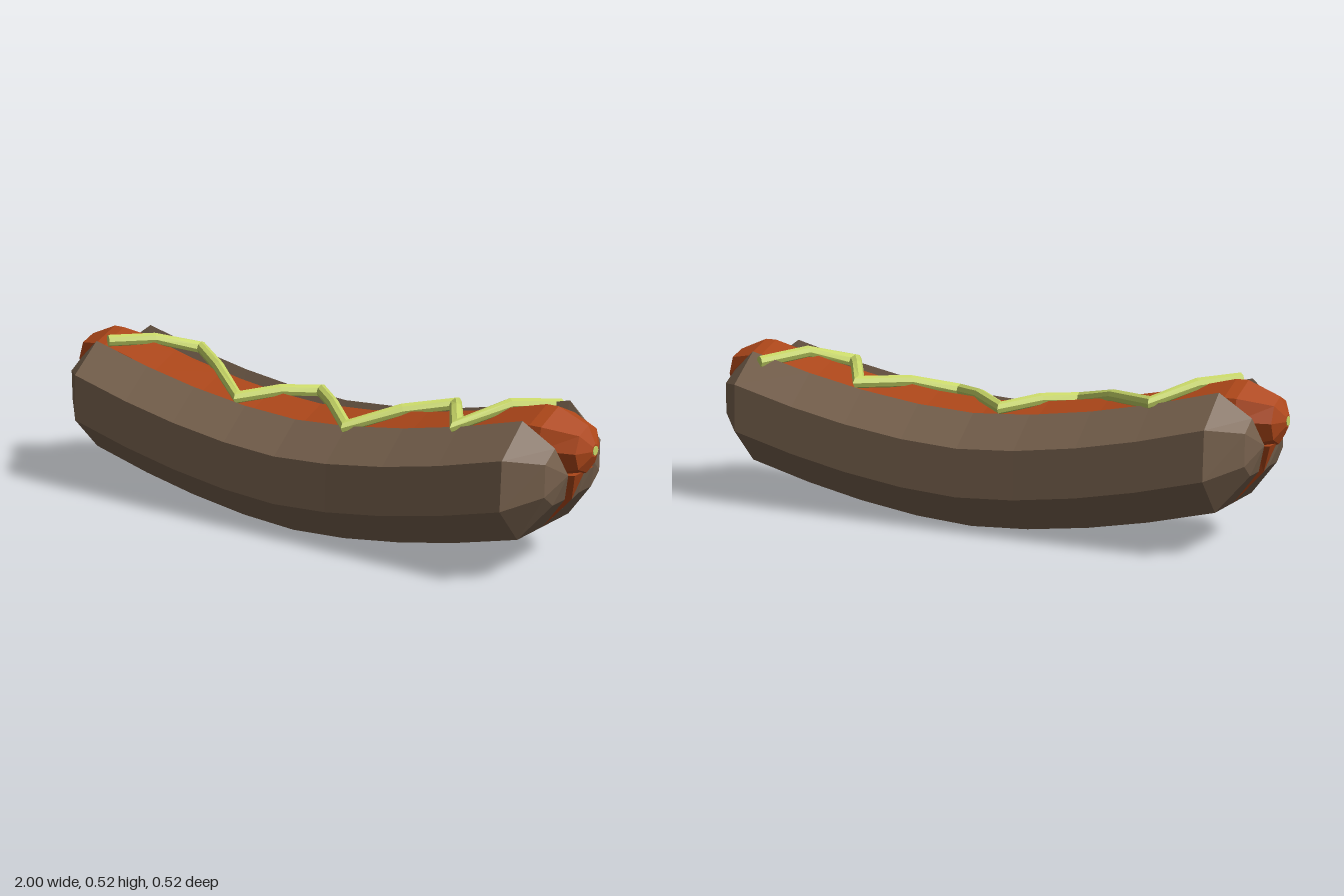
import * as THREE from 'three';

const BUN = 0x78624e, MEAT = 0xb0481a, SAUCE = 0xc6d566;
const STATIONS = [-0.83, -0.61, -0.41, -0.2, 0, 0.2, 0.41, 0.61, 0.83];

// Upward curve shared by every part
const bend = (x) => 0.135 * Math.pow(Math.min(Math.abs(x) / 0.83, 1), 1.7);

// Skin a list of equal-length rings and close both ends
function loft(name, color, rings) {
  const pos = [];
  const tri = (...pts) => pts.forEach((p) => pos.push(p.x, p.y, p.z));
  const n = rings[0].length;
  for (let i = 0; i < rings.length - 1; i++) {
    for (let j = 0; j < n; j++) {
      const k = (j + 1) % n, r = rings[i], s = rings[i + 1];
      tri(r[j], s[j], s[k]);
      tri(r[j], s[k], r[k]);
    }
  }
  const first = rings[0], last = rings[rings.length - 1];
  for (let j = 1; j < n - 1; j++) {
    tri(first[0], first[j], first[j + 1]);
    tri(last[0], last[j + 1], last[j]);
  }
  const geo = new THREE.BufferGeometry();
  geo.setAttribute('position', new THREE.Float32BufferAttribute(pos, 3));
  geo.computeVertexNormals();
  const mesh = new THREE.Mesh(geo, new THREE.MeshStandardMaterial({ color, flatShading: true }));
  mesh.name = name;
  return mesh;
}

// Place a [z, y] section at x, following the bend
const section = (x, pts) => pts.map(([z, y]) => new THREE.Vector3(x, y + bend(x), z));

// Body sections along the stations, with tapering end sections mirrored in x
function along(body, ends) {
  return [
    ...[...ends].reverse().map(([x, pts]) => section(-x, pts)),
    ...STATIONS.map((x) => section(x, body)),
    ...ends.map(([x, pts]) => section(x, pts)),
  ];
}

export function createModel() {
  const model = new THREE.Group();
  model.name = 'hotDog';

  // Bun halves, meeting at the bottom centre with a V-shaped groove between them
  const half = [[0, 0], [0.153, 0], [0.259, 0.115], [0.253, 0.27], [0.14, 0.365]];
  const shoulder = [[0.043, 0.115], [0.115, 0.115], [0.165, 0.153], [0.165, 0.253], [0.11, 0.29]];
  const tip = half.map(() => [0.08, 0.205]);
  const mirror = (pts) => pts.map(([z, y]) => [-z, y]).reverse();
  model.add(loft('bunFront', BUN, along(half, [[0.925, shoulder], [0.955, tip]])));
  model.add(loft('bunBack', BUN, along(mirror(half), [[0.925, mirror(shoulder)], [0.955, mirror(tip)]])));

  // Wedge filling the groove under the sausage
  const wedge = [[0, 0], [0.073, 0.195], [-0.073, 0.195]];
  const wedgeEnd = [[0, 0.105], [0.065, 0.195], [-0.065, 0.195]];
  model.add(loft('sausageUnderside', MEAT, along(wedge, [[0.925, wedgeEnd], [0.965, wedge.map(([z]) => [z * 0.8, 0.2])]])));

  // Eight-sided sausage with rounded ends
  const body = [[0, 0.155], [0.085, 0.193], [0.118, 0.275], [0.1, 0.343], [0, 0.385],
    [-0.1, 0.343], [-0.118, 0.275], [-0.085, 0.193]];
  const octagon = (r) => body.map((_, i) => {
    const a = (i * Math.PI) / 4;
    return [Math.sin(a) * r, 0.27 - Math.cos(a) * r];
  });
  model.add(loft('sausage', MEAT, along(body, [[0.87, body], [0.972, octagon(0.073)], [0.998, octagon(0.02)]])));

  // Small dots at the sausage ends
  for (const s of [-1, 1]) {
    const dot = new THREE.Mesh(new THREE.CylinderGeometry(0.015, 0.015, 0.006, 8),
      new THREE.MeshStandardMaterial({ color: SAUCE, flatShading: true }));
    dot.rotation.z = Math.PI / 2;
    dot.position.set(s * 0.997, 0.405, 0);
    dot.name = 'endDot';
    model.add(dot);
  }

  // Zigzag sauce: corners on the bun edges, midpoints resting on the sausage
  const corners = [[-0.8, 0.5, 0.115], [-0.61, 0.452, -0.145], [-0.25, 0.392, 0.115], [-0.09, 0.387, -0.125],
    [0.2, 0.378, 0.145], [0.43, 0.427, -0.125], [0.6, 0.447, 0.135], [0.785, 0.472, -0.17]]
    .map((c) => new THREE.Vector3(...c));
  const path = [];
  corners.forEach((c, i) => {
    if (i > 0) {
      const m = corners[i - 1].clone().lerp(c, 0.5);
      m.y = Math.max(m.y, bend(m.x) + 0.393);
      path.push(m);
    }
    path.push(c);
  });
  const up = new THREE.Vector3(0, 1, 0);
  const rings = path.map((p, i) => {
    const into = p.clone().sub(path[Math.max(i - 1, 0)]).normalize();
    const out = path[Math.min(i + 1, path.length - 1)].clone().sub(p).normalize();
    const t = into.clone().add(out).setY(0).normalize();
    const side = up.clone().cross(t);
    // Widen the ring at corners so the bead keeps its thickness
    const miter = i === 0 || i === path.length - 1 ? 1 : 1 / Math.max(t.dot(out), 0.5);
    return Array.from({ length: 8 }, (_, k) => {
      const a = (k * Math.PI) / 4;
      return p.clone().addScaledVector(up, Math.cos(a) * 0.02)
        .addScaledVector(side, Math.sin(a) * 0.02 * miter);
    });
  });
  model.add(loft('sauce', SAUCE, rings));

  return model;
}
